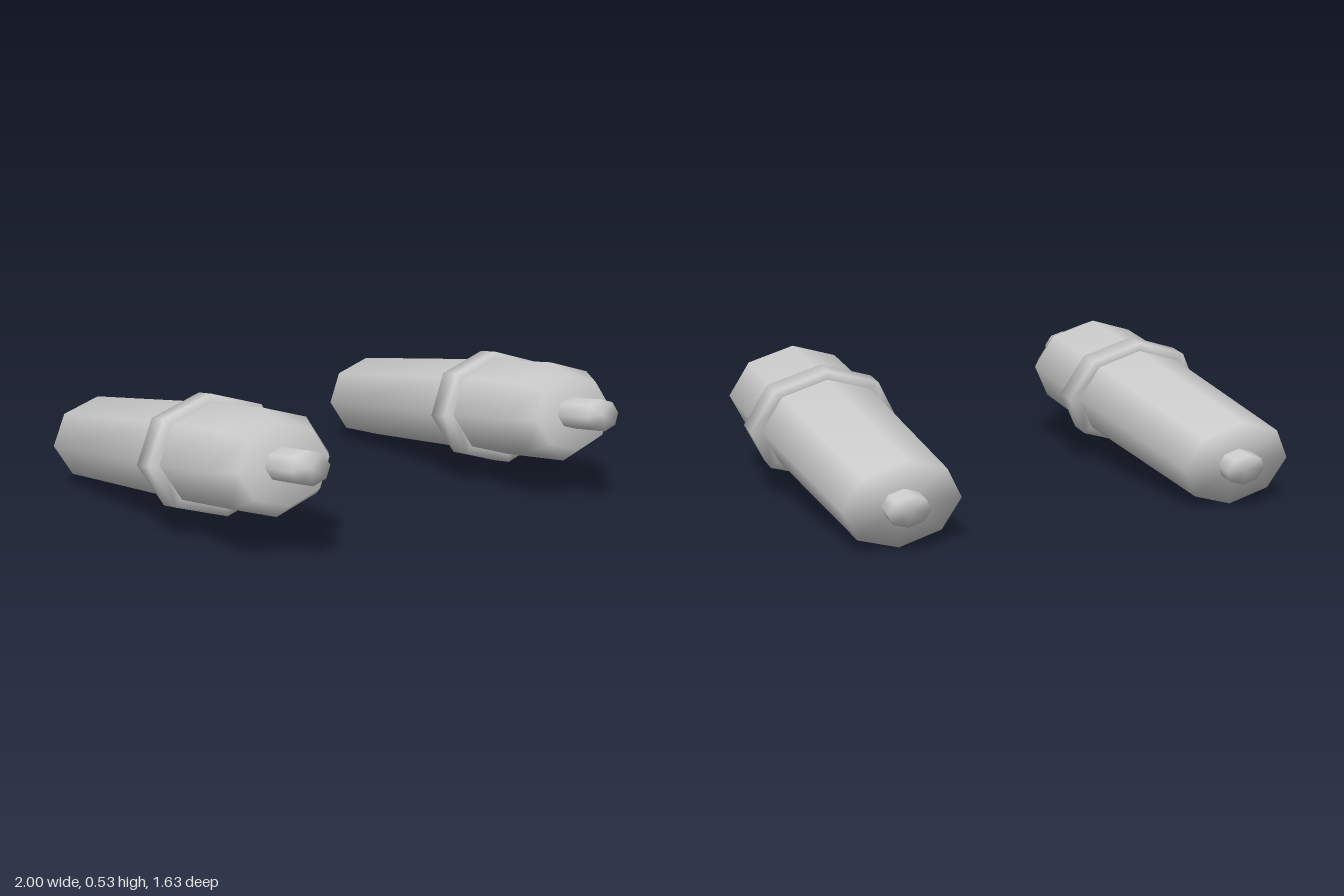
import * as THREE from 'three';

const SIDES = 8;

// Lathe axis leans along +z, while the cross-sections are wide and raked back.
const slant = new THREE.Matrix4().makeBasis(
  new THREE.Vector3(1.34, 0, 0),
  new THREE.Vector3(0, 0.1315, 1),
  new THREE.Vector3(0, -1, 0.234)
);

// Profiles are [radius, distance along the axis], running from back to front.
const PROFILES = {
  body: [[0, -0.725], [0.172, -0.725], [0.194, 0.15], [0.195, 0.535], [0.147, 0.6325], [0, 0.6325]],
  collar: [[0.18, 0.105], [0.2275, 0.105], [0.2275, 0.1925], [0.18, 0.1925]],
  frontStub: [[0.062, 0.6], [0.062, 0.8], [0, 0.8]],
  rearStub: [[0, -0.797], [0.062, -0.797], [0.062, -0.7]],
};

export function createModel() {
  const model = new THREE.Group();
  const material = new THREE.MeshStandardMaterial({ color: 0xcccccc });

  // Matching pods on the left and right
  for (const side of [1, -1]) {
    const pod = new THREE.Group();
    pod.name = side > 0 ? 'leftPod' : 'rightPod';
    pod.position.set(side * 0.695, 0.272, 0);
    for (const [name, profile] of Object.entries(PROFILES)) {
      const points = profile.map(([r, t]) => new THREE.Vector2(r, t));
      const geometry = new THREE.LatheGeometry(points, SIDES).applyMatrix4(slant);
      const mesh = new THREE.Mesh(geometry, material);
      mesh.name = name;
      pod.add(mesh);
    }
    model.add(pod);
  }
  return model;
}
